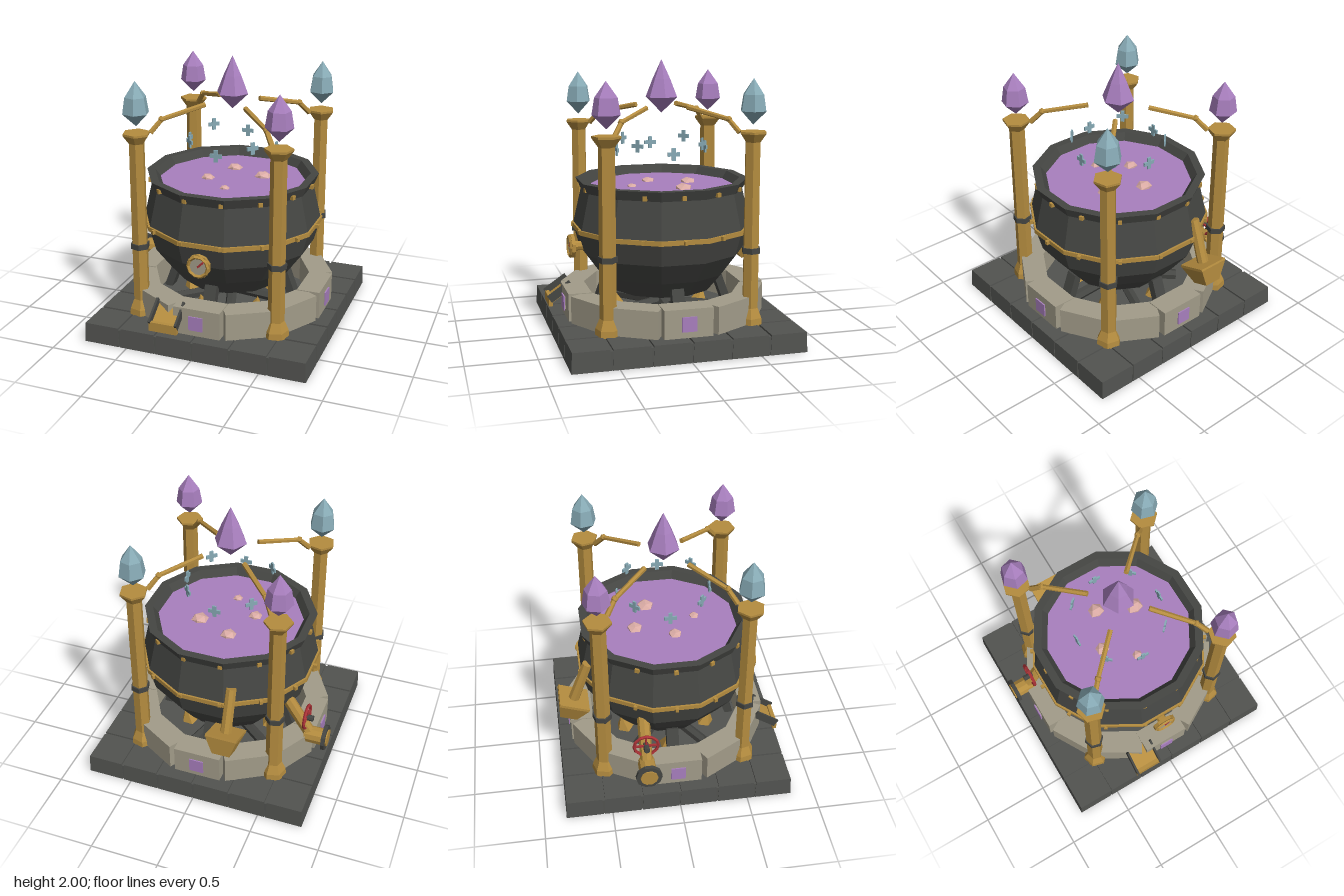
import * as THREE from 'three';

const V = (x, y, z) => new THREE.Vector3(x, y, z);
const paint = (name, color) => {
  const m = new THREE.MeshStandardMaterial({ color, flatShading: true });
  m.name = name;
  return m;
};

export function createModel() {
  const iron = paint('iron', 0x454643);
  const slabStone = paint('slabStone', 0x525350);
  const ringStone = paint('ringStone', 0xa29c89);
  const brass = paint('brass', 0xb48c3f);
  const purple = paint('purple', 0xa87fbe);
  const teal = paint('teal', 0x88abb6);
  const pink = paint('pink', 0xdcada6);
  const red = paint('red', 0xa83236);

  const root = new THREE.Group();
  root.position.set(0.003, 0, -0.004);
  const model = new THREE.Group();
  model.name = 'cauldronStation';
  model.add(root);

  const add = (name, geo, mat, x = 0, y = 0, z = 0, parent = root) => {
    const m = new THREE.Mesh(geo, mat);
    m.name = name;
    m.position.set(x, y, z);
    parent.add(m);
    return m;
  };
  const box = (w, h, d) => new THREE.BoxGeometry(w, h, d);
  // group turned about y; its own +z points outwards
  const spoke = (name, angle) => {
    const g = new THREE.Group();
    g.name = name;
    g.rotation.y = angle;
    root.add(g);
    return g;
  };
  // straight rod between two points
  const rod = (name, a, b, r1, r2, sides, mat, parent = root) => {
    const d = b.clone().sub(a);
    const m = add(name, new THREE.CylinderGeometry(r2, r1, d.length(), sides), mat, 0, 0, 0, parent);
    m.position.copy(a).addScaledVector(d, 0.5);
    m.quaternion.setFromUnitVectors(V(0, 1, 0), d.normalize());
    return m;
  };
  const turned = (pts, sides, start) =>
    new THREE.LatheGeometry(pts.map(p => new THREE.Vector2(p[0], p[1])), sides, start);
  // twelve-sided turning, flat side to the front, radii measured to the flats
  const drum = pts => turned(pts.map(([r, y]) => [r / Math.cos(Math.PI / 12), y]), 12, Math.PI / 12);

  // Paved base: core slab and a border of tapered tiles
  add('baseSlab', box(1.65, 0.132, 1.65), slabStone, 0, 0.066, 0);
  const pitch = 0.279;
  for (let i = 0; i < 6; i++) for (let j = 0; j < 6; j++) {
    if (i % 5 && j % 5) continue;
    const g = box(0.272, 0.145, 0.272), p = g.attributes.position;
    for (let k = 0; k < p.count; k++) {
      if (p.getY(k) > 0) p.setXYZ(k, p.getX(k) * 0.95, p.getY(k), p.getZ(k) * 0.95);
    }
    add('baseTile', g, slabStone, (i - 2.5) * pitch, 0.0725, (j - 2.5) * pitch);
  }
  add('baseCentre', box(1.11, 0.01, 1.11), slabStone, 0, 0.138, 0);

  // Hearth ring of twelve blocks, with a purple plate on every third
  for (let i = 0; i < 12; i++) {
    const s = spoke('hearthSpoke', i * Math.PI / 6);
    const h = 0.205 + (i % 3 ? -0.004 : 0.002);
    add('hearthBlock', box(0.35, h, 0.17), ringStone, 0, 0.143 + h / 2, 0.65, s);
    if (i % 3 === 0) {
      add('runePlate', box(0.106, 0.106, 0.009), purple, 0, 0.245, 0.746, s);
      add('runeBacking', box(0.09, 0.09, 0.012), ringStone, 0, 0.245, 0.737, s);
      const leg = add('cauldronLeg', box(0.09, 0.28, 0.06), iron, 0, 0.27, 0.47, s);
      leg.rotation.x = -0.35;
    }
  }
  // Firebed
  for (let i = 0; i < 5; i++) {
    const a = i * Math.PI * 0.4 + 0.3;
    rod('fireLog', V(0, 0.2, 0), V(Math.sin(a) * 0.45, 0.17, Math.cos(a) * 0.45), 0.04, 0.04, 6, iron);
    const b = a + 0.6;
    rod('fireFlame', V(Math.sin(b) * 0.33, 0.14, Math.cos(b) * 0.33),
      V(Math.sin(b) * 0.36, 0.27, Math.cos(b) * 0.36), 0.07, 0, 5, brass);
  }

  // Cauldron
  add('cauldronBody', drum([[0, 0.33], [0.37, 0.33], [0.475, 0.46], [0.59, 0.62], [0.635, 0.79],
    [0.573, 1.07]]), iron);
  add('cauldronRim', drum([[0.56, 1.065], [0.585, 1.07], [0.612, 1.14], [0.555, 1.14], [0.51, 1.075],
    [0.5, 1.04]]), iron);
  add('liquid', new THREE.CylinderGeometry(0.535, 0.535, 0.03, 12, 1, false, Math.PI / 12), purple, 0, 1.07, 0);
  add('belt', drum([[0.62, 0.775], [0.645, 0.775], [0.645, 0.808], [0.62, 0.808]]), brass);
  for (let i = 0; i < 14; i++) {
    const s = spoke('studs', (i + 0.5) * Math.PI / 7);
    add('beltStud', box(0.024, 0.028, 0.03), brass, 0, 0.792, 0.655, s);
    add('rimStud', box(0.03, 0.03, 0.03), brass, 0, 1.092, 0.602, s);
  }
  for (const [x, z, r] of [[-0.06, -0.22, 0.06], [0.2, -0.11, 0.066], [-0.17, 0.06, 0.052], [0.025, 0.23, 0.038]]) {
    add('bubble', new THREE.IcosahedronGeometry(r), pink, x, 1.085, z).scale.y = 0.6;
  }

  // Corner pillars with crystals and inward arms
  const gem = [[0, 1.57], [0.097, 1.665], [0.078, 1.78], [0, 1.89]];
  for (let i = 0; i < 4; i++) {
    const s = spoke('pillar', Math.PI / 4 + i * Math.PI / 2);
    const R = 0.733;
    add('pillarColumn', turned([[0, 0.14], [0.094, 0.14], [0.09, 0.19], [0.06, 0.26], [0.057, 1.45], [0.1, 1.51],
      [0.1, 1.525], [0, 1.525]], 6, 0), brass, 0, 0, R, s);
    add('pillarBand', new THREE.CylinderGeometry(0.07, 0.07, 0.04, 6), iron, 0, 0.68, R, s);
    add('pillarCrystal', turned(gem, 6, 0), i % 2 ? teal : purple, 0, 0, R, s);
    rod('armRise', V(0, 1.51, 0.63), V(0, 1.6, 0.54), 0.02, 0.018, 6, brass, s);
    rod('armReach', V(0, 1.595, 0.555), V(0, 1.665, 0.215), 0.017, 0.019, 6, brass, s);
    add('armJoint', new THREE.IcosahedronGeometry(0.025), brass, 0, 1.598, 0.545, s);
  }
  add('centreCrystal', turned([[0, 1.615], [0.118, 1.73], [0.066, 1.86], [0, 2]], 6, Math.PI / 2), purple);

  // Floating crosses
  for (let i = 0; i < 8; i++) {
    const s = spoke('floatingCross', i * Math.PI / 4), y = i % 2 ? 1.408 : 1.355;
    add('crossBar', box(0.088, 0.028, 0.012), teal, 0, y, 0.335, s);
    add('crossPost', box(0.028, 0.088, 0.012), teal, 0, y, 0.335, s);
  }

  // Pressure gauge
  rod('gaugeStem', V(0, 0.66, 0.58), V(0, 0.66, 0.67), 0.035, 0.035, 8, brass);
  rod('gaugeCase', V(0, 0.66, 0.66), V(0, 0.66, 0.685), 0.088, 0.088, 10, brass);
  rod('gaugeFace', V(0, 0.66, 0.683), V(0, 0.66, 0.69), 0.066, 0.066, 10, ringStone);
  add('gaugeBezel', new THREE.TorusGeometry(0.074, 0.013, 4, 10), brass, 0, 0.66, 0.69);
  add('gaugeNeedle', box(0.06, 0.014, 0.006), red, 0.02, 0.68, 0.694).rotation.z = Math.PI / 4;

  // Ash chute at the front
  const chute = new THREE.Group();
  chute.name = 'ashChute';
  chute.position.set(-0.215, 0.285, 0.745);
  chute.rotation.x = 0.6;
  root.add(chute);
  add('chuteFloor', box(0.2, 0.02, 0.2), brass, 0, -0.02, 0, chute);
  for (const x of [-0.1, 0.1]) add('chuteRail', box(0.016, 0.06, 0.2), iron, x, 0.005, 0, chute);
  add('chuteLip', box(0.212, 0.068, 0.03), brass, -0.215, 0.215, 0.82);

  // Hopper at the back
  const hopper = new THREE.Group();
  hopper.name = 'hopper';
  hopper.position.set(-0.215, 0.61, -0.7);
  hopper.rotation.x = 0.35;
  root.add(hopper);
  const funnel = new THREE.CylinderGeometry(0.115 * Math.SQRT2, 0.065 * Math.SQRT2, 0.14, 4);
  add('hopperFunnel', funnel.rotateY(Math.PI / 4), brass, 0, -0.085, 0, hopper);
  add('hopperLip', box(0.232, 0.02, 0.226), brass, 0, -0.01, 0, hopper);
  add('hopperPipe', new THREE.CylinderGeometry(0.038, 0.042, 0.36, 8), brass, 0, 0.15, 0, hopper);

  // Drain pipe and valve on the right side
  const pz = -0.225;
  rod('drainPipe', V(-0.7, 0.35, pz), V(-0.5, 0.66, pz), 0.046, 0.046, 8, brass);
  rod('drainDrum', V(-0.845, 0.33, pz), V(-0.67, 0.33, pz), 0.064, 0.064, 10, brass);
  rod('drainFlange', V(-0.836, 0.33, pz), V(-0.808, 0.33, pz), 0.096, 0.096, 10, iron);
  add('valveWheel', new THREE.TorusGeometry(0.088, 0.012, 5, 12), red, -0.675, 0.49, pz).rotation.y = Math.PI / 2;
  for (const a of [0, Math.PI / 2]) {
    add('valveSpoke', box(0.014, 0.17, 0.014), red, -0.675, 0.49, pz).rotation.x = a;
  }
  rod('valveHub', V(-0.725, 0.485, pz), V(-0.6, 0.485, pz), 0.022, 0.022, 8, iron);

  return model;
}
